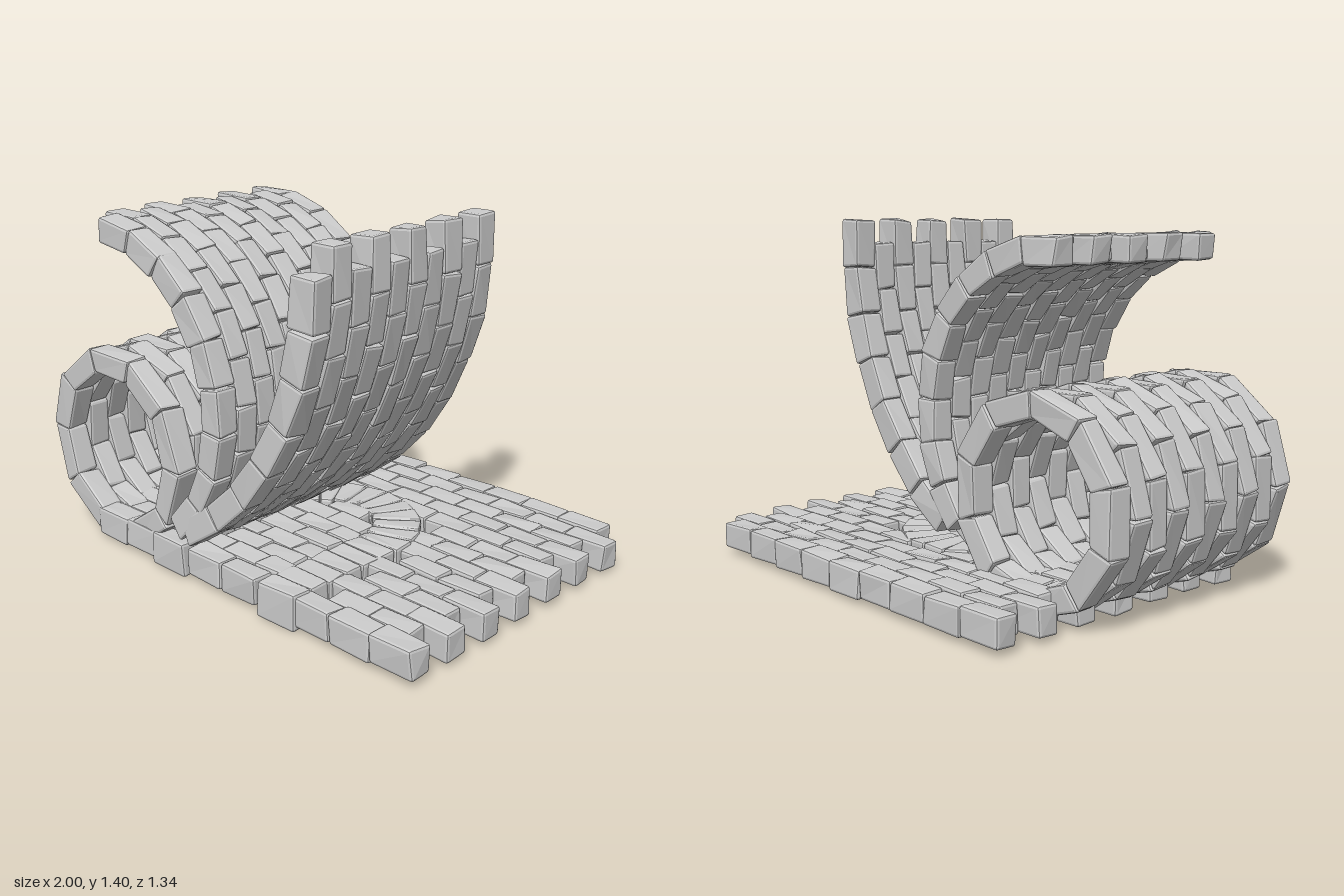
import * as THREE from 'three';
import { mergeGeometries } from 'three/addons/utils/BufferGeometryUtils.js';
import { RoundedBoxGeometry } from 'three/addons/geometries/RoundedBoxGeometry.js';

const material = new THREE.MeshStandardMaterial({ color: 0xcccccc, flatShading: true });

// Seeded noise in -1..1
let seed = 7;
const noise = () => {
  seed = (seed * 16807) % 2147483647;
  return (seed / 2147483647) * 2 - 1;
};

// Chamfered, slightly irregular brick; "taper" widens it towards +y
function brick(w, h, d, taper = 0, wobble = 0.005) {
  const geo = new RoundedBoxGeometry(w, h, d, 1, 0.011);
  const corners = Array.from({ length: 8 }, () =>
    new THREE.Vector3(noise(), noise(), noise()).multiplyScalar(wobble));
  const p = geo.attributes.position;
  const v = new THREE.Vector3();
  for (let i = 0; i < p.count; i++) {
    v.fromBufferAttribute(p, i);
    const c = corners[(v.x > 0 ? 1 : 0) + (v.y > 0 ? 2 : 0) + (v.z > 0 ? 4 : 0)];
    v.x *= 1 + taper * v.y;
    v.add(c);
    p.setXYZ(i, v.x, v.y, v.z);
  }
  geo.computeVertexNormals();
  return geo;
}

// Wedge-shaped brick on an arc in the xy plane
function wedge(cx, cy, rIn, rOut, angle, step, z, depth) {
  const r = (rIn + rOut) / 2;
  const geo = brick(2 * r * Math.tan(step / 2), rOut - rIn, depth, 1 / r);
  geo.rotateZ(angle - Math.PI / 2);
  return geo.translate(cx + r * Math.cos(angle), cy + r * Math.sin(angle), z);
}

function mesh(name, parts) {
  const m = new THREE.Mesh(mergeGeometries(parts), material);
  m.name = name;
  return m;
}

// Curled sheet: rows of wedges, alternate rows shifted by half a brick
function curl(name, { cx, cy, rIn, rOut, start, step, count, zFront = 0.655, zBack = -0.295 }) {
  const rows = 10, depth = (zFront - zBack) / rows, parts = [];
  const s = THREE.MathUtils.degToRad(step);
  for (let row = 0; row < rows; row++) {
    const a0 = THREE.MathUtils.degToRad(start) + (row % 2 ? s / 2 : 0);
    for (let i = 0; i < count; i++) {
      parts.push(wedge(cx, cy, rIn, rOut, a0 - (i + 0.5) * s, s,
        zFront - (row + 0.5) * depth, depth));
    }
  }
  return mesh(name, parts);
}

// Arch dimensions in the floor plane
const ARCH = { x: 0.055, z: 0.12, rIn: 0.21, rOut: 0.4 };

function inArch(x, z) {
  const dx = x - ARCH.x;
  const r = z > ARCH.z ? Math.abs(dx) : Math.hypot(dx, z - ARCH.z);
  return r > ARCH.rIn && r < ARCH.rOut;
}

// Floor: staggered rows, leaving room for the arch
function floor() {
  const parts = [], w = 0.1885, d = 0.0943;
  for (let row = 0; row < 14; row++) {
    const z = -0.67 + (row + 0.5) * d;
    for (let i = 0; i < 9; i++) {
      const x = (row % 2 ? -0.705 : -0.8) + (i + 0.5) * w;
      if (!inArch(x, z)) parts.push(brick(w, 0.113, d).translate(x, 0.078 + noise() * 0.004, z));
    }
  }
  return mesh('brickFloor', parts);
}

// Arch laid flat in the floor: a half ring of wedges and two straight legs
function arch() {
  const parts = [], n = 12, step = Math.PI / n, height = 0.138;
  for (let i = 0; i < n; i++) {
    parts.push(wedge(0, 0, ARCH.rIn, ARCH.rOut, (i + 0.5) * step, step, 0, height));
  }
  const legs = 6, d = (0.66 - ARCH.z) / legs;
  for (const side of [-1, 1]) {
    for (let i = 0; i < legs; i++) {
      parts.push(brick(ARCH.rOut - ARCH.rIn, d, height)
        .translate(side * (ARCH.rIn + ARCH.rOut) / 2, -(i + 0.5) * d, 0));
    }
  }
  const m = mesh('floorArch', parts);
  m.rotation.x = -Math.PI / 2;
  m.position.set(ARCH.x, 0.075, ARCH.z);
  return m;
}

export function createModel() {
  seed = 7;
  const group = new THREE.Group();
  group.name = 'curledBrickwork';
  group.add(
    floor(),
    arch(),
    // Closed roll on the right
    curl('rolledTube', {
      cx: -0.59, cy: 0.42, rIn: 0.29, rOut: 0.39, start: 288, step: 36, count: 10,
      zFront: 0.645, zBack: -0.33,
    }),
    // Tall wave that bends over the roll
    curl('overhangingWave', {
      cx: -0.6, cy: 0.68, rIn: 0.57, rOut: 0.672, start: 89, step: 15.5, count: 9,
    }),
    // Shallow sheet that sweeps up to vertical
    curl('risingSheet', {
      cx: -0.76, cy: 1.3, rIn: 1.205, rOut: 1.315, start: 0, step: 8.7, count: 7,
    }),
  );
  // The sheet's even rows reach highest, so shift its stagger downwards
  const sheet = group.getObjectByName('risingSheet');
  sheet.geometry.translate(0, 0, 0);
  return group;
}
